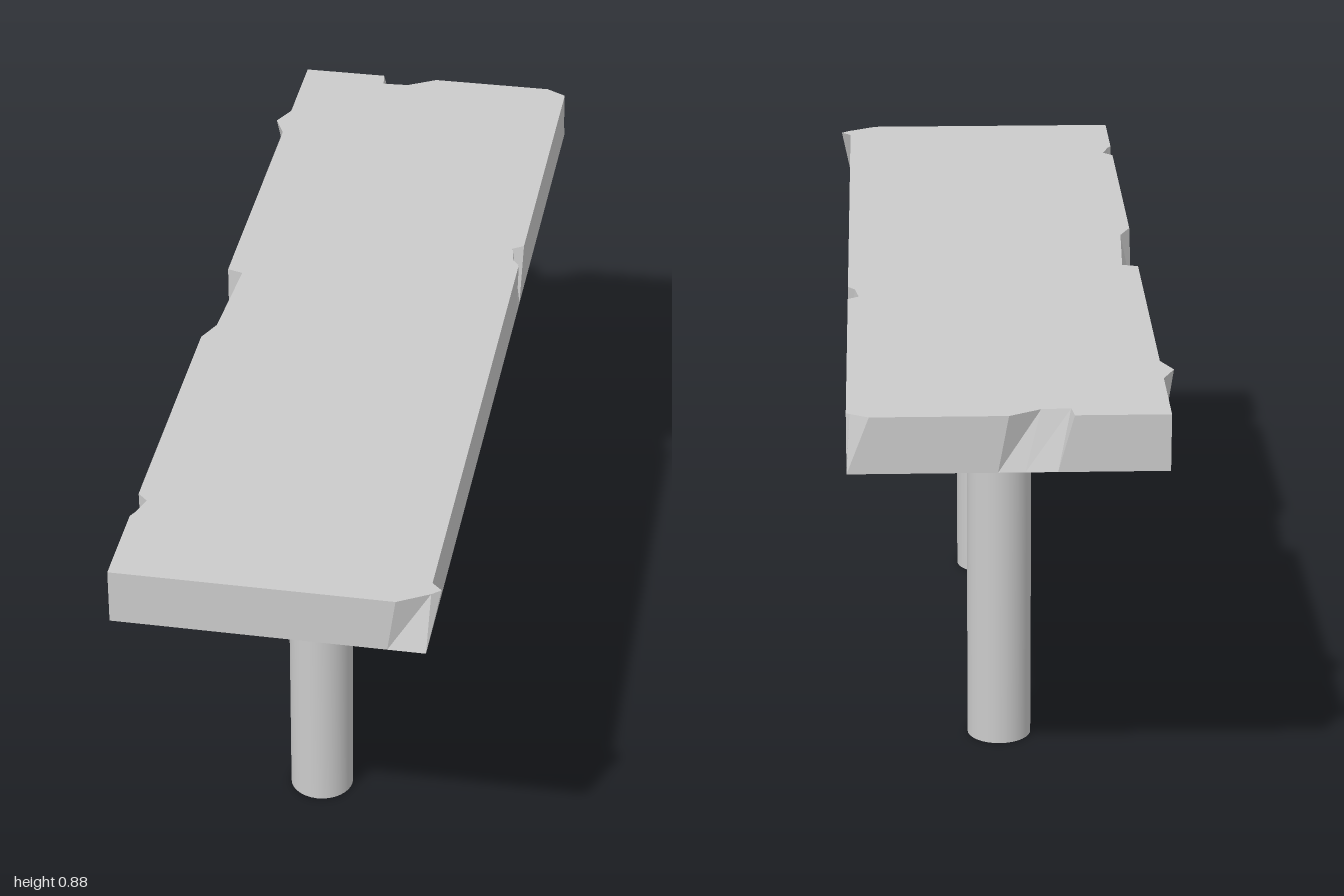
import * as THREE from 'three';

const W = 0.297, Y0 = 0.765, Y1 = 0.875;

// Slab rim, anticlockwise from above: [bottom x, bottom z, top x, top z]
const rim = [
  [-W, 1, -W, 1],
  // chipped front corner
  [0.225, 1, 0.24, 1], [W, 1, 0.3, 0.965], [W, 0.99, 0.317, 0.95], [W, 0.965, W, 0.93],
  // chip in the left edge
  [W, -0.2, W, -0.22], [W, -0.22, 0.283, -0.238], [W, -0.25, 0.275, -0.285], [W, -0.27, W, -0.3],
  // chipped back corner
  [W, -0.985, W, -0.975], [W, -1, 0.29, -0.98], [0.27, -1, 0.255, -1],
  // chip in the back edge
  [0.02, -1, 0, -1], [-0.03, -1, -0.06, -0.965], [-0.09, -1, -0.115, -0.962], [-0.105, -1, -0.12, -1],
  [-W, -1, -W, -1],
  // splinter and chips along the right edge
  [-W, -0.8, -W, -0.8], [-W, -0.75, -0.32, -0.75], [-W, -0.7, -W, -0.7],
  [-W, -0.1, -W, -0.1], [-W, -0.08, -0.265, -0.09], [-W, 0.1, -0.275, 0.12], [-W, 0.15, -W, 0.17],
  [-W, 0.735, -W, 0.74], [-W, 0.76, -0.277, 0.76], [-W, 0.78, -0.289, 0.8], [-W, 0.8, -W, 0.815],
];

function slabGeometry() {
  const low = rim.map(([x, z]) => new THREE.Vector3(x, Y0, z));
  const high = rim.map(([, , x, z]) => new THREE.Vector3(x, Y1, z));
  const pos = [];
  const tri = (...pts) => pts.forEach((p) => pos.push(p.x, p.y, p.z));
  rim.forEach((_, i) => {
    const j = (i + 1) % rim.length;
    tri(low[i], low[j], high[j]);
    tri(low[i], high[j], high[i]);
  });
  // top cap follows the chipped outline, the underside is a plain rectangle
  const outline = high.map((p) => new THREE.Vector2(p.x, -p.z));
  for (const [a, b, c] of THREE.ShapeUtils.triangulateShape(outline, [])) tri(high[a], high[b], high[c]);
  const [a, b, c, d] = [[-W, 1], [W, 1], [W, -1], [-W, -1]].map(([x, z]) => new THREE.Vector3(x, Y0, z));
  tri(a, c, b);
  tri(a, d, c);
  const geo = new THREE.BufferGeometry();
  geo.setAttribute('position', new THREE.Float32BufferAttribute(pos, 3));
  geo.computeVertexNormals();
  return geo;
}

export function createModel() {
  const model = new THREE.Group();
  const stone = new THREE.MeshStandardMaterial({ color: 0xcccccc });

  const slab = new THREE.Mesh(slabGeometry(), stone);
  slab.name = 'slab';
  model.add(slab);

  const drum = (name, r, y0, y1) => {
    const mesh = new THREE.Mesh(new THREE.CylinderGeometry(r, r, y1 - y0, 32), stone);
    mesh.position.y = (y0 + y1) / 2;
    mesh.name = name;
    return mesh;
  };

  // Two round pillars with stepped capitals
  const radii = [0.089, 0.112, 0.134, 0.157];
  const base = 0.678, step = (Y0 - base) / radii.length;
  for (const [name, z] of [['frontPillar', 0.458], ['backPillar', -0.458]]) {
    const pillar = new THREE.Group();
    pillar.name = name;
    pillar.position.z = z;
    pillar.add(drum('shaft', 0.064, 0, base));
    radii.forEach((r, i) => pillar.add(drum(`capitalStep${i + 1}`, r, base + i * step, base + (i + 1) * step)));
    model.add(pillar);
  }
  return model;
}
